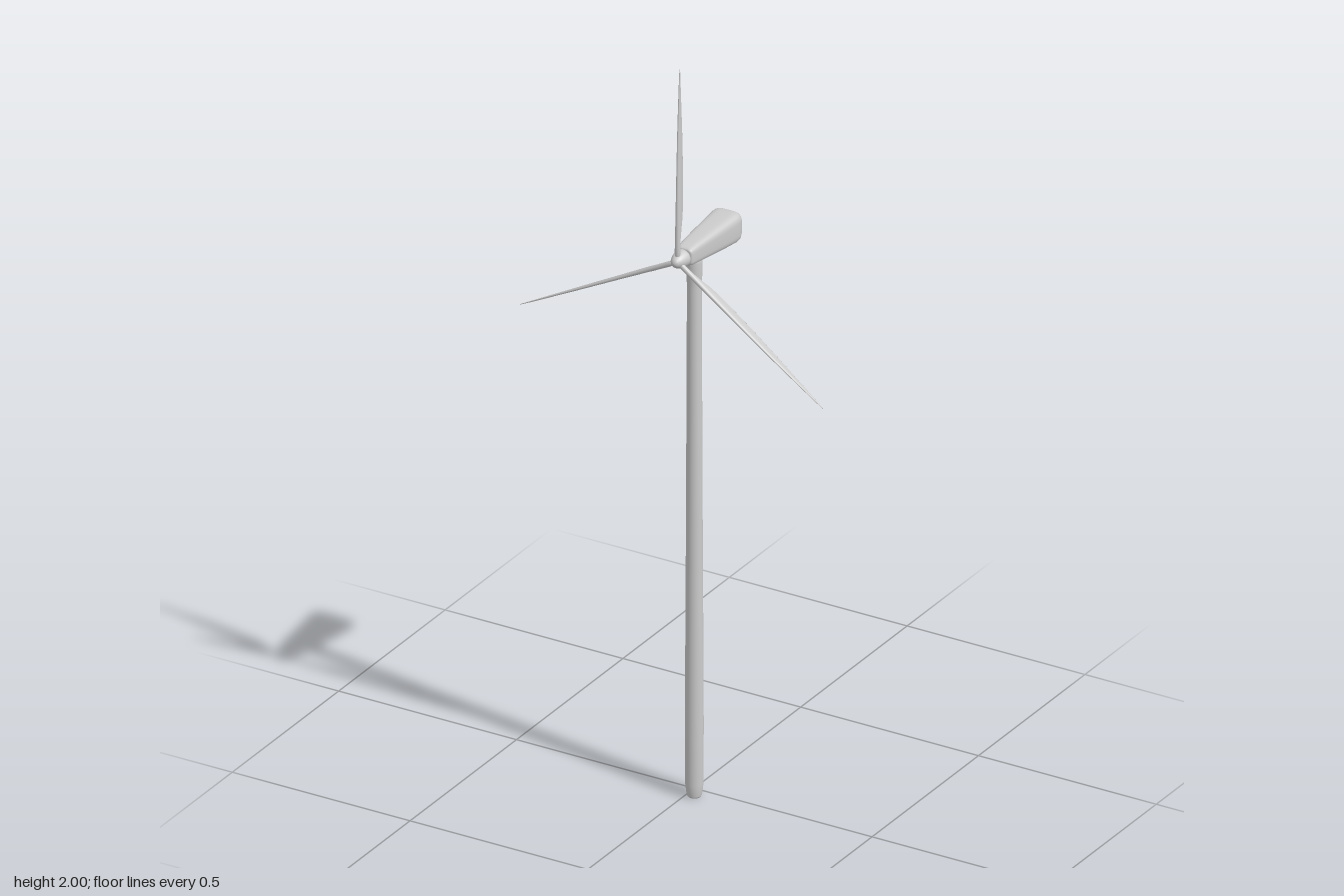
import * as THREE from 'three';

const material = new THREE.MeshStandardMaterial({ color: 0xcccccc, roughness: 0.7 });
const HUB = { x: 0.021, y: 1.484 };

// Skin a stack of closed rings (each an array of Vector3) and close both ends.
function loft(rings) {
  const n = rings[0].length;
  const pos = [], index = [];
  const centre = (r) => r.reduce((s, p) => s.add(p), new THREE.Vector3()).divideScalar(n);
  rings.forEach((r) => r.forEach((p) => pos.push(p.x, p.y, p.z)));
  for (let i = 0; i < rings.length - 1; i++) {
    for (let j = 0; j < n; j++) {
      const a = i * n + j, b = i * n + (j + 1) % n;
      index.push(a, b, b + n, a, b + n, a + n);
    }
  }
  const last = (rings.length - 1) * n, c0 = rings.length * n, c1 = c0 + 1;
  [rings[0], rings[rings.length - 1]].forEach((r) => pos.push(...centre(r).toArray()));
  for (let j = 0; j < n; j++) {
    const k = (j + 1) % n;
    index.push(c0, k, j, c1, last + j, last + k);
  }
  const g = new THREE.BufferGeometry();
  g.setAttribute('position', new THREE.Float32BufferAttribute(pos, 3));
  g.setIndex(index);
  g.computeVertexNormals();
  return g;
}

function part(name, geometry) {
  const m = new THREE.Mesh(geometry, material);
  m.name = name;
  return m;
}

const profile = (pts) => pts.map(([r, y]) => new THREE.Vector2(r, y));

// Housing: rounded-square sections that shrink towards the front.
function nacelleGeometry() {
  // z, half width, half height, centre y
  const sections = [
    [-0.135, 0.022, 0.021, 1.481], [-0.134, 0.031, 0.03, 1.481], [-0.13, 0.037, 0.036, 1.481],
    [-0.122, 0.04, 0.039, 1.481], [-0.108, 0.0405, 0.0395, 1.481], [-0.06, 0.037, 0.036, 1.482],
    [0, 0.032, 0.031, 1.484], [0.05, 0.027, 0.027, 1.485], [0.076, 0.024, 0.024, 1.485],
    [0.083, 0.022, 0.022, 1.485], [0.085, 0.018, 0.018, 1.485],
  ];
  const n = 40;
  const soft = (v) => Math.sign(v) * Math.pow(Math.abs(v), 0.5);
  return loft(sections.map(([z, w, h, y], i) => Array.from({ length: n }, (_, j) => {
    const a = (j / n) * Math.PI * 2;
    return new THREE.Vector3(0.019 + i * 0.0003 + w * soft(Math.cos(a)), y + h * soft(Math.sin(a)), z);
  })));
}

// Blade: teardrop sections along +y, chord along z, thick edge to the front.
function bladeGeometry() {
  // distance, trailing z, leading z, half thickness
  const stations = [
    [0, 0.106, 0.12, 0.007], [0.03, 0.106, 0.12, 0.007], [0.05, 0.104, 0.12, 0.007],
    [0.08, 0.097, 0.1195, 0.0068], [0.105, 0.091, 0.119, 0.0064], [0.13, 0.0885, 0.1185, 0.006],
    [0.18, 0.088, 0.1175, 0.0052], [0.25, 0.0885, 0.116, 0.0044], [0.33, 0.0915, 0.1135, 0.0034],
    [0.41, 0.096, 0.1095, 0.0025], [0.47, 0.0995, 0.106, 0.0016], [0.495, 0.101, 0.1045, 0.001],
    [0.502, 0.1023, 0.1033, 0.0004],
  ];
  const n = 20;
  return loft(stations.map(([d, back, front, thick], i) => Array.from({ length: n }, (_, j) => {
    const a = (j / n) * Math.PI * 2;
    const taper = Math.min(1, i / 5) * 0.45;
    const z = (back + front) / 2 + ((front - back) / 2) * Math.cos(a);
    return new THREE.Vector3(thick * Math.sin(a) * (1 - taper + taper * Math.cos(a)) / (1 - taper * 0.6), d, z);
  })));
}

export function createModel() {
  const model = new THREE.Group();
  model.name = 'windTurbine';

  // Slim tapering tower with a chamfered foot and a slight collar
  const tower = part('tower', new THREE.LatheGeometry(profile([
    [0, 0], [0.016, 0], [0.0185, 0.004], [0.0225, 0.035], [0.0228, 0.2], [0.0222, 0.36],
    [0.0205, 0.7], [0.019, 1.1], [0.018, 1.38], [0.0185, 1.4], [0.02, 1.42], [0.02, 1.45],
    [0.019, 1.475], [0, 1.475],
  ]), 32));
  tower.position.set(0.02, 0, 0.033);
  model.add(tower);

  model.add(part('nacelle', nacelleGeometry()));

  // Rotor: shaft, spinner and three blades
  const rotor = new THREE.Group();
  rotor.name = 'rotor';
  rotor.position.set(HUB.x, HUB.y, 0);
  const shaft = part('shaft', new THREE.CylinderGeometry(0.017, 0.017, 0.02, 24).rotateX(Math.PI / 2));
  shaft.position.z = 0.085;
  const spinner = part('spinner', new THREE.LatheGeometry(profile([
    [0, 0.087], [0.02, 0.087], [0.0225, 0.089], [0.0225, 0.096], [0.02, 0.108],
    [0.016, 0.119], [0.011, 0.127], [0.006, 0.131], [0, 0.132],
  ]), 28).rotateX(Math.PI / 2));
  rotor.add(shaft, spinner);

  const geometry = bladeGeometry();
  // tip positions relative to the hub
  [[0, 0.516], [-0.449, -0.239], [0.405, -0.299]].forEach(([x, y], i) => {
    const blade = part('blade' + (i + 1), geometry);
    blade.rotation.z = Math.atan2(-x, y);
    blade.scale.y = Math.hypot(x, y) / 0.502;
    rotor.add(blade);
  });
  model.add(rotor);
  return model;
}
